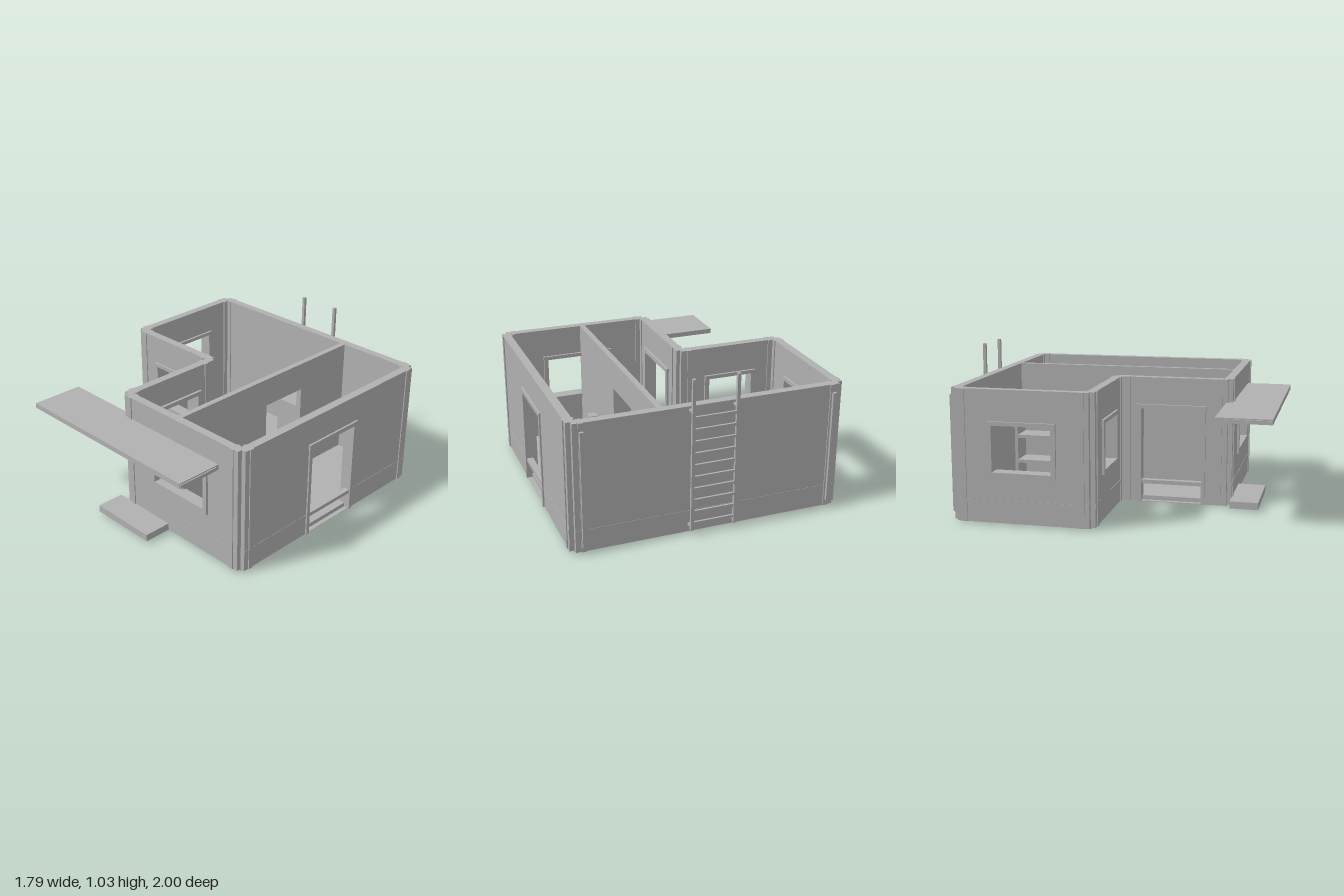
import * as THREE from 'three';

export function createModel() {
  const root = new THREE.Group();
  root.name = 'house';
  const grey = new THREE.MeshStandardMaterial({ color: 0xb0b0b0 });
  grey.name = 'plain grey';

  const add = (name, geometry) => {
    const mesh = new THREE.Mesh(geometry, grey);
    mesh.name = name;
    root.add(mesh);
    return mesh;
  };
  // box given by its limits on each axis
  const box = (name, x0, x1, y0, y1, z0, z1) =>
    add(name, new THREE.BoxGeometry(x1 - x0, y1 - y0, z1 - z0)
      .translate((x0 + x1) / 2, (y0 + y1) / 2, (z0 + z1) / 2));
  const rect = (Type, u0, u1, y0, y1) => {
    const s = new Type();
    s.moveTo(u0, y0);
    s.lineTo(u1, y0);
    s.lineTo(u1, y1);
    s.lineTo(u0, y1);
    s.closePath();
    return s;
  };
  // upright panel running along x or z, from depth d0 to d1, with rectangular holes
  const panel = (name, axis, u0, u1, y0, y1, d0, d1, holes = []) => {
    const s = rect(THREE.Shape, u0, u1, y0, y1);
    for (const h of holes) s.holes.push(rect(THREE.Path, ...h));
    const g = new THREE.ExtrudeGeometry(s, { depth: d1 - d0, bevelEnabled: false });
    if (axis === 'x') g.translate(0, 0, d0);
    else g.rotateY(-Math.PI / 2).translate(d1, 0, 0);
    return add(name, g);
  };
  // L-shaped plan grown outwards by d, drawn so that y of the shape becomes -z
  const plan = (Type, d) => {
    const s = new Type();
    [[-0.88 - d, 0.94 + d], [-0.88 - d, 0.035 - d], [-0.18 - d, 0.035 - d], [-0.18 - d, -0.695 - d],
      [0.88 + d, -0.695 - d], [0.88 + d, 0.94 + d]]
      .forEach(([x, y], i) => (i ? s.lineTo(x, y) : s.moveTo(x, y)));
    s.closePath();
    return s;
  };
  const slab = (name, shape, y0, y1) => add(name,
    new THREE.ExtrudeGeometry(shape, { depth: y1 - y0, bevelEnabled: false })
      .rotateX(-Math.PI / 2).translate(0, y0, 0));

  slab('floor', plan(THREE.Shape, -0.03), 0, 0.04);

  // outer walls, stepped back at the corners
  const B = 0.01, T = 0.84;
  const winY = [0.33, 0.62];
  panel('backWall', 'x', -0.85, 0.85, B, T, -0.94, -0.885);
  panel('frontWall', 'x', -0.15, 0.85, B, T, 0.64, 0.695, [[0.13, 0.57, ...winY]]);
  panel('wingFrontWall', 'x', -0.85, -0.15, B, T, -0.09, -0.035, [[-0.66, -0.35, ...winY]]);
  panel('rightWall', 'z', -0.91, 0.665, B, T, 0.825, 0.88, [[-0.315, 0.085, 0.012, 0.635]]);
  panel('leftWall', 'z', -0.91, -0.065, B, T, -0.88, -0.825, [[-0.675, -0.3, ...winY]]);
  panel('notchWall', 'z', -0.065, 0.665, B, T, -0.18, -0.125, [[0.1, 0.5, 0.012, 0.635]]);

  // narrow posts near the wall ends
  const p = 0.007, w = 0.015;
  for (const [x, z0, z1] of [[-0.8, -0.94, -0.885], [0.8, -0.94, -0.885], [-0.1, 0.64, 0.695],
    [0.8, 0.64, 0.695], [-0.8, -0.09, -0.035], [-0.21, -0.09, -0.035]])
    box('wallPost', x - w, x + w, B, T, z0 - p, z1 + p);
  for (const [z, x0, x1] of [[-0.86, -0.88, -0.825], [-0.11, -0.88, -0.825], [-0.86, 0.825, 0.88],
    [0.615, 0.825, 0.88], [0.615, -0.18, -0.125], [0.01, -0.18, -0.125]])
    box('wallPost', x0 - p, x1 + p, B, T, z - w, z + w);

  // low rail within the walls, crossing the doorways
  const rail = (name, x0, x1, z0, z1) => box(name, x0, x1, 0.13, 0.155, z0, z1);
  rail('rightDoorRail', 0.84, 0.882, -0.91, 0.665);
  rail('notchDoorRail', -0.182, -0.14, -0.03, 0.665);
  rail('backRail', -0.85, 0.85, -0.942, -0.9);
  rail('frontRail', -0.15, 0.85, 0.655, 0.697);
  rail('leftRail', -0.882, -0.84, -0.91, -0.065);
  rail('wingRail', -0.85, -0.18, -0.075, -0.033);

  // window frames
  const frame = (axis, u0, u1, d0, d1) => panel('windowFrame', axis, u0, u1, 0.3, 0.645, d0, d1,
    [[u0 + 0.03, u1 - 0.03, ...winY]]);
  frame('x', 0.1, 0.6, 0.625, 0.71);
  frame('x', -0.69, -0.32, -0.105, -0.02);
  frame('z', -0.705, -0.27, -0.895, -0.81);

  // door frames: two jambs and a lintel
  for (const [z0, z1, x0, x1] of [[-0.34, 0.11, 0.81, 0.89], [0.075, 0.525, -0.195, -0.11]]) {
    box('doorJamb', x0, x1, B, 0.635, z0, z0 + 0.025);
    box('doorJamb', x0, x1, B, 0.635, z1 - 0.025, z1);
    box('doorLintel', x0 - 0.003, x1 + 0.003, 0.635, 0.663, z0 - 0.007, z1 + 0.004);
  }

  // inner partition with a doorway
  panel('partition', 'z', -0.89, 0.645, 0.03, T, 0.29, 0.328, [[-0.44, -0.1, 0.035, 0.65]]);

  // counter with two small boxes on it
  box('counterBody', 0.328, 0.485, 0.04, 0.3, -0.085, 0.145);
  box('counterTop', 0.328, 0.5, 0.3, 0.33, -0.1, 0.155);
  for (const z of [-0.04, 0.1]) box('counterBox', 0.385, 0.445, 0.33, 0.395, z - 0.03, z + 0.03);

  // shelf unit against the partition
  for (const y of [0.15, 0.33, 0.487]) box('shelf', 0.12, 0.29, y, y + 0.022, -0.885, -0.44);
  for (const z of [-0.885, -0.465]) box('shelfEnd', 0.12, 0.29, 0.04, 0.505, z, z + 0.022);

  // canopy and front step
  box('canopy', -0.69, 0.69, 0.657, 0.69, 0.655, 1);
  for (const s of [-1, 1]) box('canopyEnd', s * 0.693 - 0.005, s * 0.693 + 0.005, 0.66, 0.682, 0.715, 0.995);
  box('step', -0.24, 0.235, B, 0.057, 0.695, 0.88);

  // downpipes on the back wall
  for (const x of [-0.808, 0.8]) box('downpipe', x - 0.012, x + 0.012, 0.05, 0.79, -0.965, -0.94);

  // ladder on the back wall
  for (const x of [-0.143, 0.137]) {
    box('ladderRail', x - 0.01, x + 0.01, 0.045, 1.027, -1, -0.98);
    for (const y of [0.063, 0.818]) box('ladderBracket', x - 0.007, x + 0.007, y - 0.007, y + 0.007, -0.985, -0.935);
  }
  for (let i = 0; i < 10; i++) {
    const y = 0.09 + i * 0.077;
    box('ladderRung', -0.14, 0.135, y - 0.009, y + 0.009, -0.997, -0.983);
  }
  return root;
}
